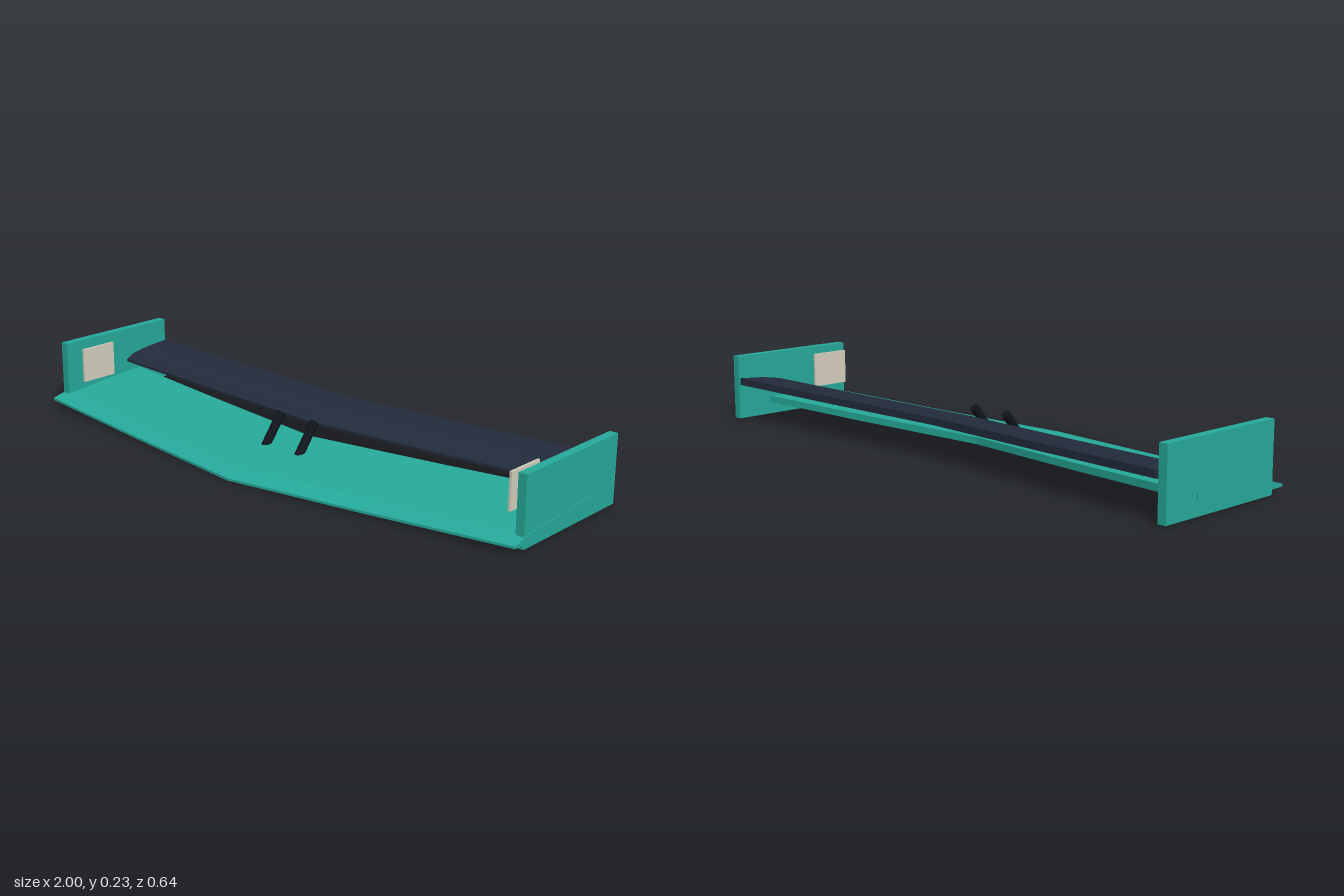
import * as THREE from 'three';

const material = (name, color) => {
  const m = new THREE.MeshStandardMaterial({ color });
  m.name = name;
  return m;
};

// Swept wing: section rows are [z, yBottom, yTop] from nose to tail at the centre
function wingGeometry(section, halfSpan, sweep, lift) {
  const stations = [-1, -0.5, 0, 0.5, 1];
  const profile = [
    ...section.map(([z, , top]) => [z, top]),
    ...section.map(([z, bottom]) => [z, bottom]).reverse(),
  ];
  const n = profile.length;
  const rings = stations.map((s) => profile.map(([z, y]) =>
    [s * halfSpan, y + lift * (0.6 * Math.abs(s) + 0.4 * s * s), z - sweep * Math.abs(s)]));
  const pos = [];
  const quad = (a, b, c, d) => pos.push(...a, ...b, ...c, ...a, ...c, ...d);

  // skin
  for (let k = 0; k < rings.length - 1; k++) {
    const r0 = rings[k], r1 = rings[k + 1];
    for (let i = 0; i < n; i++) {
      const j = (i + 1) % n;
      quad(r0[i], r1[i], r1[j], r0[j]);
    }
  }
  // tip caps
  const left = rings[rings.length - 1], right = rings[0];
  for (let i = 0; i < section.length - 1; i++) {
    const o = n - 1 - i;
    quad(left[i], left[o], left[o - 1], left[i + 1]);
    quad(right[i], right[i + 1], right[o - 1], right[o]);
  }
  const g = new THREE.BufferGeometry();
  g.setAttribute('position', new THREE.Float32BufferAttribute(pos, 3));
  g.computeVertexNormals();
  return g;
}

export function createModel() {
  const group = new THREE.Group();
  const teal = material('teal paint', 0x26ab9b);
  const navy = material('dark navy', 0x232c3c);
  const black = material('strut black', 0x11151c);
  const beige = material('pale beige', 0xd6d1bf);

  const add = (name, geometry, mat, x = 0, y = 0, z = 0) => {
    const mesh = new THREE.Mesh(geometry, mat);
    mesh.name = name;
    mesh.position.set(x, y, z);
    group.add(mesh);
    return mesh;
  };

  // lower main plane
  add('mainPlane', wingGeometry([
    [0.32, 0.002, 0.01],
    [0.257, 0.001, 0.025],
    [0.10, 0.005, 0.038],
    [-0.07, 0.027, 0.05],
  ], 1, 0.12, 0.02), teal);

  // raised rear flap
  add('flap', wingGeometry([
    [-0.06, 0.097, 0.105],
    [-0.09, 0.094, 0.122],
    [-0.16, 0.10, 0.134],
    [-0.26, 0.118, 0.142],
  ], 0.96, 0.06, 0.009), navy);

  for (const side of [1, -1]) {
    const label = side > 0 ? 'left' : 'right';

    // upright end plate
    add(label + 'EndPlate', new THREE.BoxGeometry(0.029, 0.224, 0.473), teal,
      side * 0.983, 0.116, -0.0835);

    // small inner vane
    add(label + 'Vane', new THREE.BoxGeometry(0.008, 0.12, 0.14), beige,
      side * 0.921, 0.149, 0.05);

    // leaning round strut
    const top = new THREE.Vector3(side * 0.073, 0.13, -0.01);
    const foot = new THREE.Vector3(side * 0.073, 0.01, 0.085);
    const axis = top.clone().sub(foot);
    const mid = top.clone().add(foot).multiplyScalar(0.5);
    const strut = add(label + 'Strut',
      new THREE.CylinderGeometry(0.015, 0.015, axis.length(), 16), black, mid.x, mid.y, mid.z);
    strut.quaternion.setFromUnitVectors(new THREE.Vector3(0, 1, 0), axis.normalize());
  }
  return group;
}
